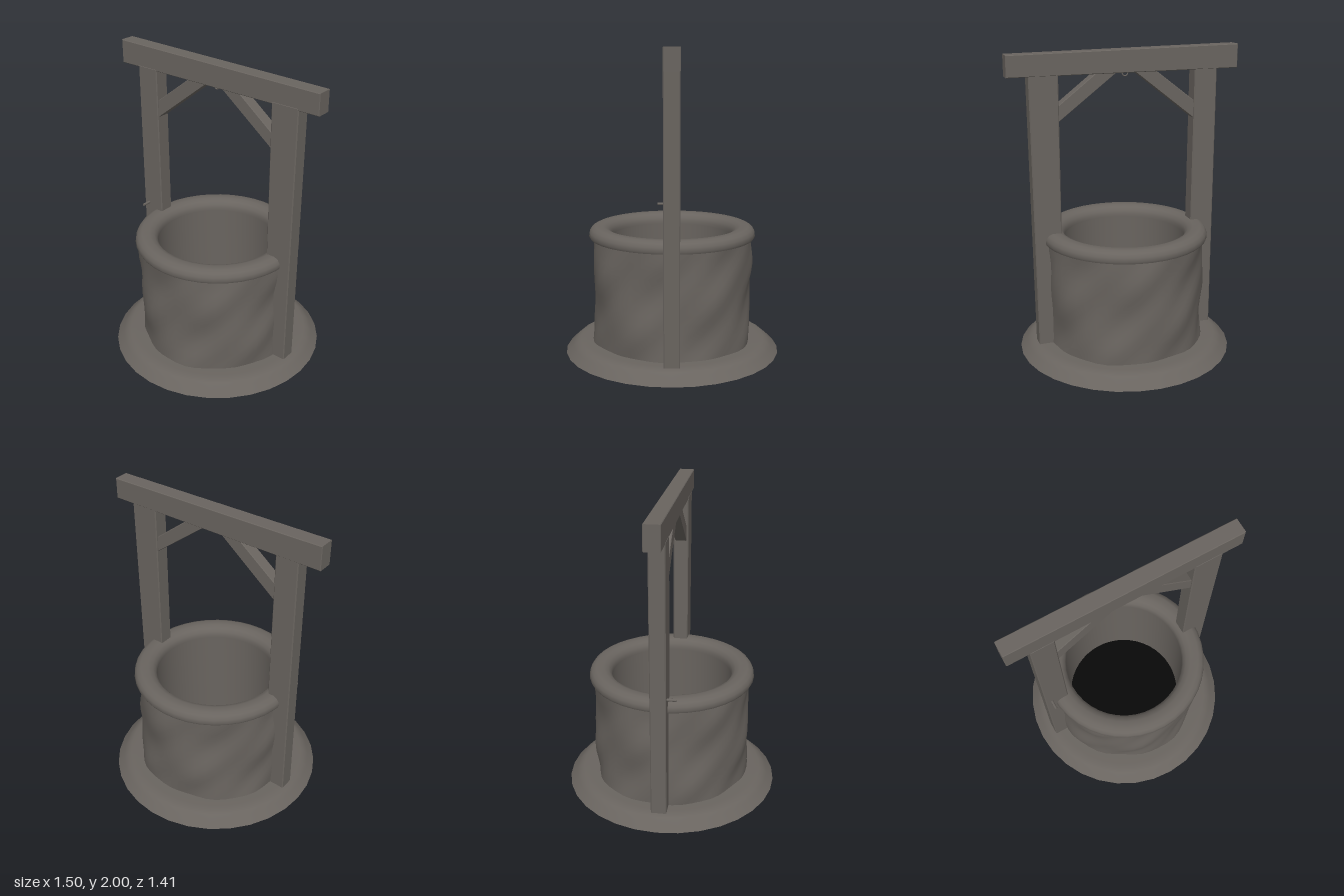
import * as THREE from 'three';
import { mergeVertices, toCreasedNormals } from 'three/addons/utils/BufferGeometryUtils.js';

export function createModel() {
  const well = new THREE.Group();
  well.name = 'well';
  const stone = new THREE.MeshStandardMaterial({ name: 'weathered grey', color: 0x69645f });
  const dark = new THREE.MeshStandardMaterial({ name: 'shaft black', color: 0x080808 });

  function add(name, geometry, material = stone) {
    const mesh = new THREE.Mesh(geometry, material);
    mesh.name = name;
    well.add(mesh);
    return mesh;
  }

  // Surface of revolution from [radius, height] pairs
  function turned(profile, segments) {
    const points = profile.map(([r, y]) => new THREE.Vector2(r, y));
    return toCreasedNormals(new THREE.LatheGeometry(points, segments), 0.7);
  }

  // Sawn timber: a front outline given thickness, with lightly worn edges
  function timber(name, outline, front, back, bevel = 0.004) {
    const shape = new THREE.Shape(outline.map(([x, y]) => new THREE.Vector2(x, y)));
    const geometry = new THREE.ExtrudeGeometry(shape, {
      depth: front - back - 2 * bevel,
      bevelThickness: bevel, bevelSize: bevel, bevelOffset: -bevel, bevelSegments: 1,
    });
    geometry.translate(0, 0, back + bevel);
    add(name, geometry);
  }

  // Sloped round footing
  add('footing', turned([
    [0, 0], [0.68, 0], [0.705, 0.01], [0.66, 0.055], [0.635, 0.077], [0.61, 0.086], [0.57, 0.088], [0.38, 0.088],
  ], 32));

  // Uneven outer wall
  let wall = new THREE.CylinderGeometry(0.515, 0.515, 0.7, 48, 12, true);
  wall.translate(0, 0.43, 0);
  wall.deleteAttribute('normal');
  wall.deleteAttribute('uv');
  wall = mergeVertices(wall);
  const pos = wall.attributes.position;
  for (let i = 0; i < pos.count; i++) {
    const x = pos.getX(i), y = pos.getY(i), z = pos.getZ(i);
    const a = Math.atan2(x, z);
    const bump = 0.007 * Math.sin(5 * a + 9 * y) + 0.006 * Math.sin(15 * y - 3 * a + 1)
      + 0.004 * Math.sin(11 * a - 21 * y);
    const s = 1 + bump / 0.515;
    pos.setXYZ(i, x * s, y, z * s);
  }
  wall.computeVertexNormals();
  add('outerWall', wall);

  // Inner wall and the dark bottom of the shaft
  add('innerWall', turned([[0.4, 0.8], [0.4, 0.08]], 48));
  const shaft = add('shaftBottom', new THREE.CircleGeometry(0.402, 48), dark);
  shaft.rotation.x = -Math.PI / 2;
  shaft.position.y = 0.1;

  // Rounded coping ring
  add('rim', turned([
    [0.395, 0.77], [0.537, 0.77], [0.544, 0.785], [0.54, 0.81], [0.526, 0.832], [0.5, 0.845],
    [0.45, 0.845], [0.42, 0.833], [0.402, 0.812], [0.395, 0.79], [0.395, 0.77],
  ], 40));

  // Posts, crossbeam and diagonal braces
  timber('rightPost', [[-0.608, 0.08], [-0.448, 0.08], [-0.457, 1.86], [-0.609, 1.86]], 0.05, -0.05, 0.006);
  timber('leftPost', [[0.435, 0.08], [0.601, 0.08], [0.618, 1.86], [0.433, 1.86]], 0.05, -0.05, 0.006);
  timber('crossbeam', [[-0.75, 1.848], [0.75, 1.843], [0.75, 1.977], [-0.75, 2]], 0.048, -0.052);
  timber('rightBrace', [[-0.465, 1.53], [-0.05, 1.856], [-0.19, 1.856], [-0.465, 1.645]], 0.038, -0.038);
  timber('leftBrace', [[0.44, 1.555], [0.44, 1.657], [0.185, 1.856], [0.05, 1.856]], 0.038, -0.038);

  // Hanging ring under the beam
  const ring = add('ropeRing', new THREE.TorusGeometry(0.018, 0.004, 8, 20));
  ring.position.set(-0.005, 1.838, 0);

  // Small peg on the post
  const peg = add('peg', new THREE.CylinderGeometry(0.009, 0.009, 0.075, 10));
  peg.rotation.x = Math.PI / 2;
  peg.position.set(-0.568, 0.881, 0.07);

  return well;
}
